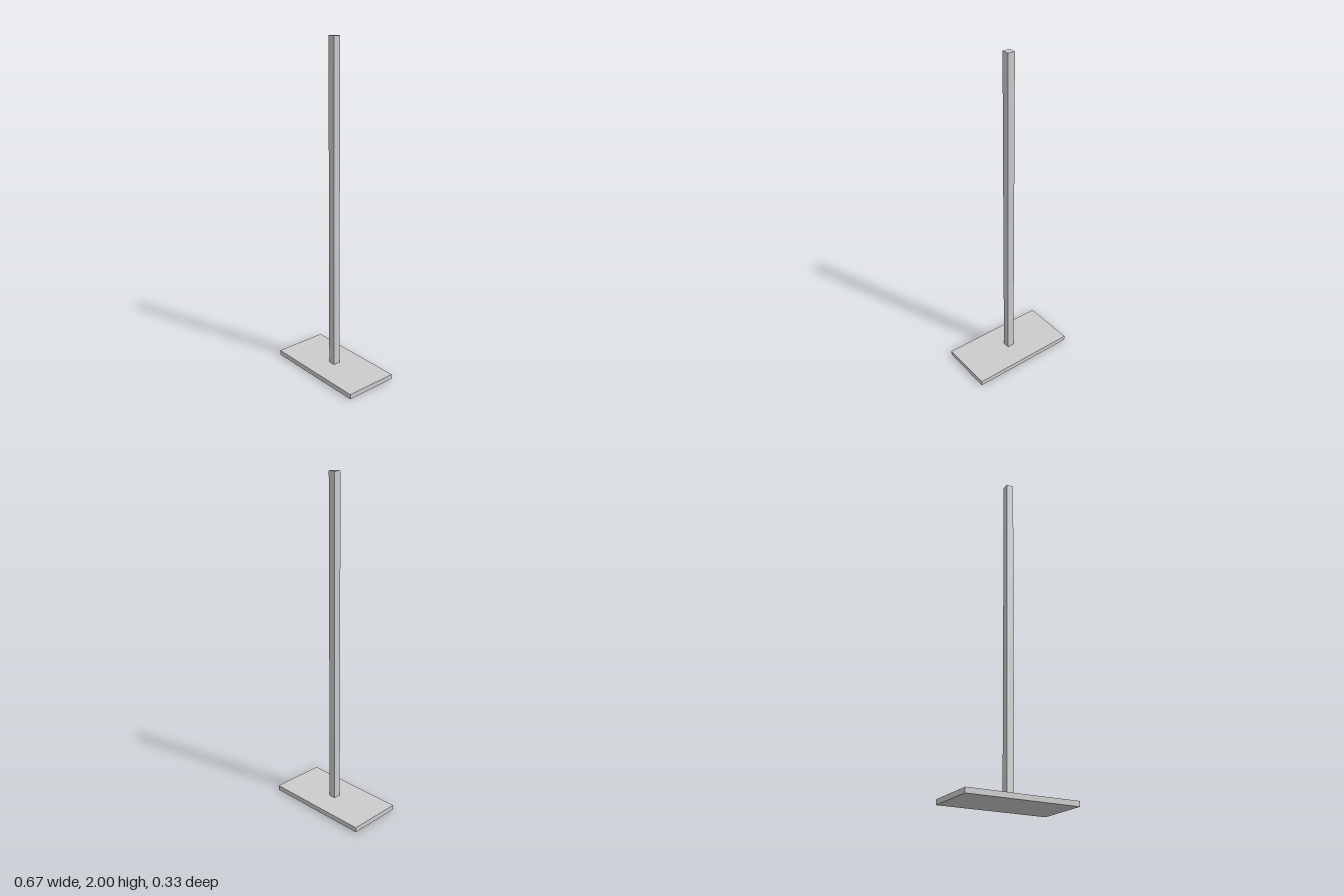
import * as THREE from 'three';

const material = new THREE.MeshStandardMaterial({ color: 0xcccccc });

// Box standing on height y
function block(name, width, height, depth, y) {
  const geometry = new THREE.BoxGeometry(width, height, depth);
  geometry.translate(0, y + height / 2, 0);
  const mesh = new THREE.Mesh(geometry, material);
  mesh.name = name;
  return mesh;
}

export function createModel() {
  const group = new THREE.Group();
  group.name = 'postOnBasePlate';
  const plateHeight = 0.03;

  // Flat rectangular foot
  group.add(block('basePlate', 0.667, plateHeight, 0.333, 0));
  // Slender square post rising from its centre
  group.add(block('post', 0.044, 2 - plateHeight, 0.044, plateHeight));

  return group;
}
